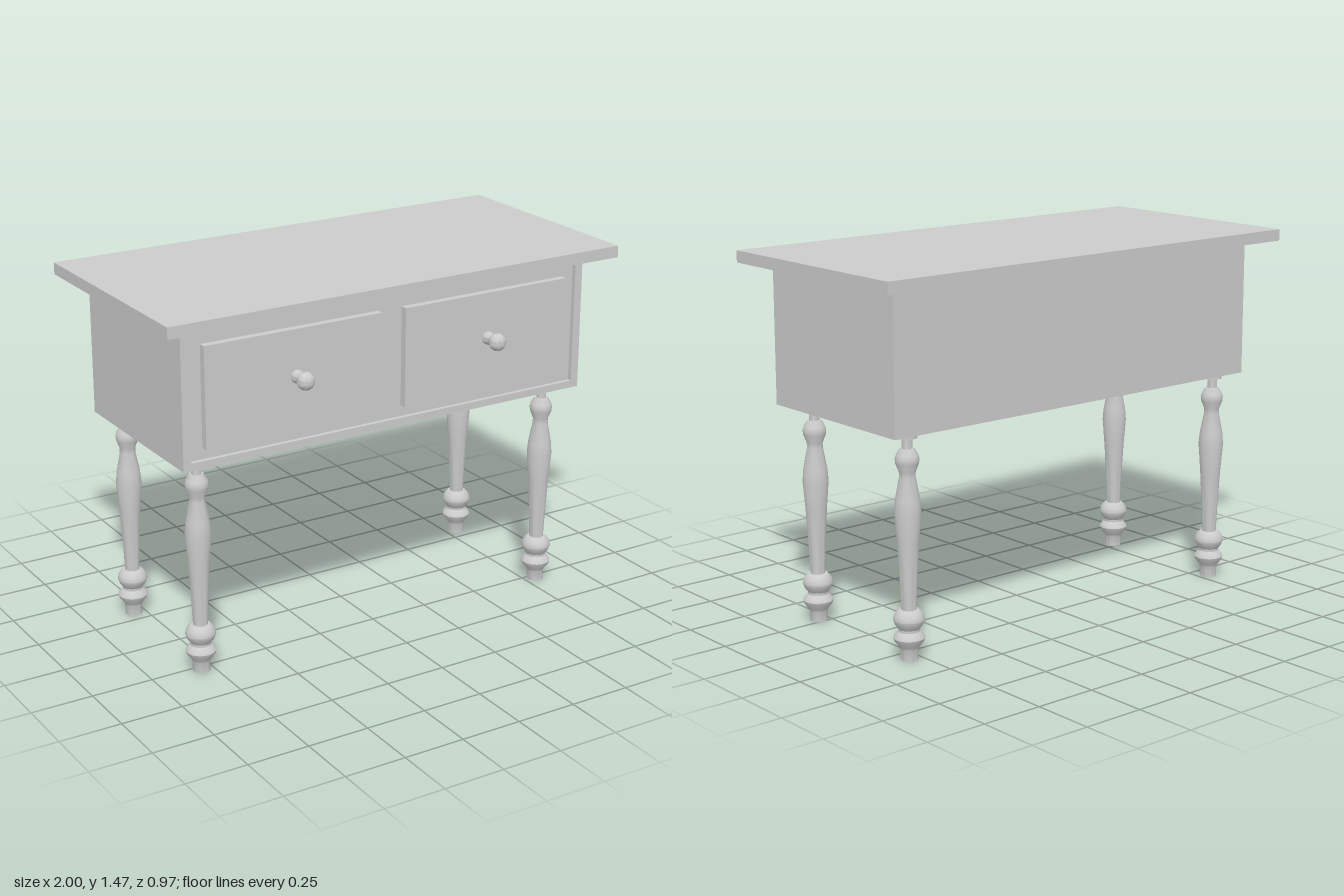
import * as THREE from 'three';
import { toCreasedNormals } from 'three/addons/utils/BufferGeometryUtils.js';

const material = new THREE.MeshStandardMaterial({ color: 0xcccccc });

function addMesh(parent, name, geometry) {
  const mesh = new THREE.Mesh(geometry, material);
  mesh.name = name;
  parent.add(mesh);
  return mesh;
}

// Box given by its lower and upper corners
function addBox(parent, name, [x0, y0, z0], [x1, y1, z1]) {
  const mesh = addMesh(parent, name, new THREE.BoxGeometry(x1 - x0, y1 - y0, z1 - z0));
  mesh.position.set((x0 + x1) / 2, (y0 + y1) / 2, (z0 + z1) / 2);
  return mesh;
}

// Turned part from [radius, height] pairs
function turned(profile, segments) {
  const points = profile.map(([r, y]) => new THREE.Vector2(r, y));
  return toCreasedNormals(new THREE.LatheGeometry(points, segments), 0.6);
}

function rectangle(Type, x0, y0, x1, y1) {
  const path = new Type();
  path.moveTo(x0, y0);
  path.lineTo(x1, y0);
  path.lineTo(x1, y1);
  path.lineTo(x0, y1);
  path.closePath();
  return path;
}

export function createModel() {
  const model = new THREE.Group();
  model.name = 'sideTable';

  // Top and cabinet, with a shallow recess framed on the front
  const back = -0.382, recess = 0.356, front = 0.374;
  addBox(model, 'tableTop', [-1, 1.427, -0.482], [1, 1.474, 0.472]);
  addBox(model, 'cabinet', [-0.902, 0.874, back], [0.902, 1.427, recess]);
  const frame = rectangle(THREE.Shape, -0.902, 0.874, 0.902, 1.427);
  frame.holes.push(rectangle(THREE.Path, -0.868, 0.903, 0.868, 1.396));
  const frameGeometry = new THREE.ExtrudeGeometry(frame, { depth: front - recess, bevelEnabled: false });
  addMesh(model, 'frontFrame', frameGeometry).position.z = recess;

  // Drawers with turned knobs
  const knob = turned([
    [0.026, 0], [0.026, 0.012], [0.022, 0.025], [0.021, 0.035], [0.024, 0.043],
    [0.031, 0.051], [0.035, 0.061], [0.035, 0.069], [0.031, 0.082], [0.023, 0.091],
    [0.012, 0.096], [0, 0.098],
  ], 24);
  for (const side of [-1, 1]) {
    const drawer = new THREE.Group();
    drawer.name = side < 0 ? 'rightDrawer' : 'leftDrawer';
    const centre = side * 0.433;
    addBox(drawer, 'drawerFront', [centre - 0.38, 0.948, recess - 0.005], [centre + 0.38, 1.348, 0.386]);
    const handle = addMesh(drawer, 'knob', knob);
    handle.rotation.x = Math.PI / 2;
    handle.position.set(centre + 0.005, 1.164, 0.385);
    model.add(drawer);
  }

  // Turned legs
  const leg = turned([
    [0, 0], [0.034, 0], [0.035, 0.043], [0.04, 0.053], [0.056, 0.074], [0.06, 0.086],
    [0.056, 0.096], [0.041, 0.112], [0.041, 0.122], [0.053, 0.138], [0.06, 0.157],
    [0.056, 0.174], [0.045, 0.19], [0.036, 0.197], [0.029, 0.197],
    [0.034, 0.32], [0.042, 0.46], [0.051, 0.573], [0.047, 0.62], [0.031, 0.705],
    [0.031, 0.725], [0.044, 0.758], [0.046, 0.775], [0.042, 0.79], [0.027, 0.815],
    [0.02, 0.815], [0.02, 0.852], [0.039, 0.855], [0.039, 0.874],
  ], 24);
  for (const [name, z] of [['front', 0.273], ['back', -0.316]]) {
    for (const side of [-1, 1]) {
      addMesh(model, name + (side < 0 ? 'RightLeg' : 'LeftLeg'), leg).position.set(side * 0.798, 0, z);
    }
  }
  return model;
}
